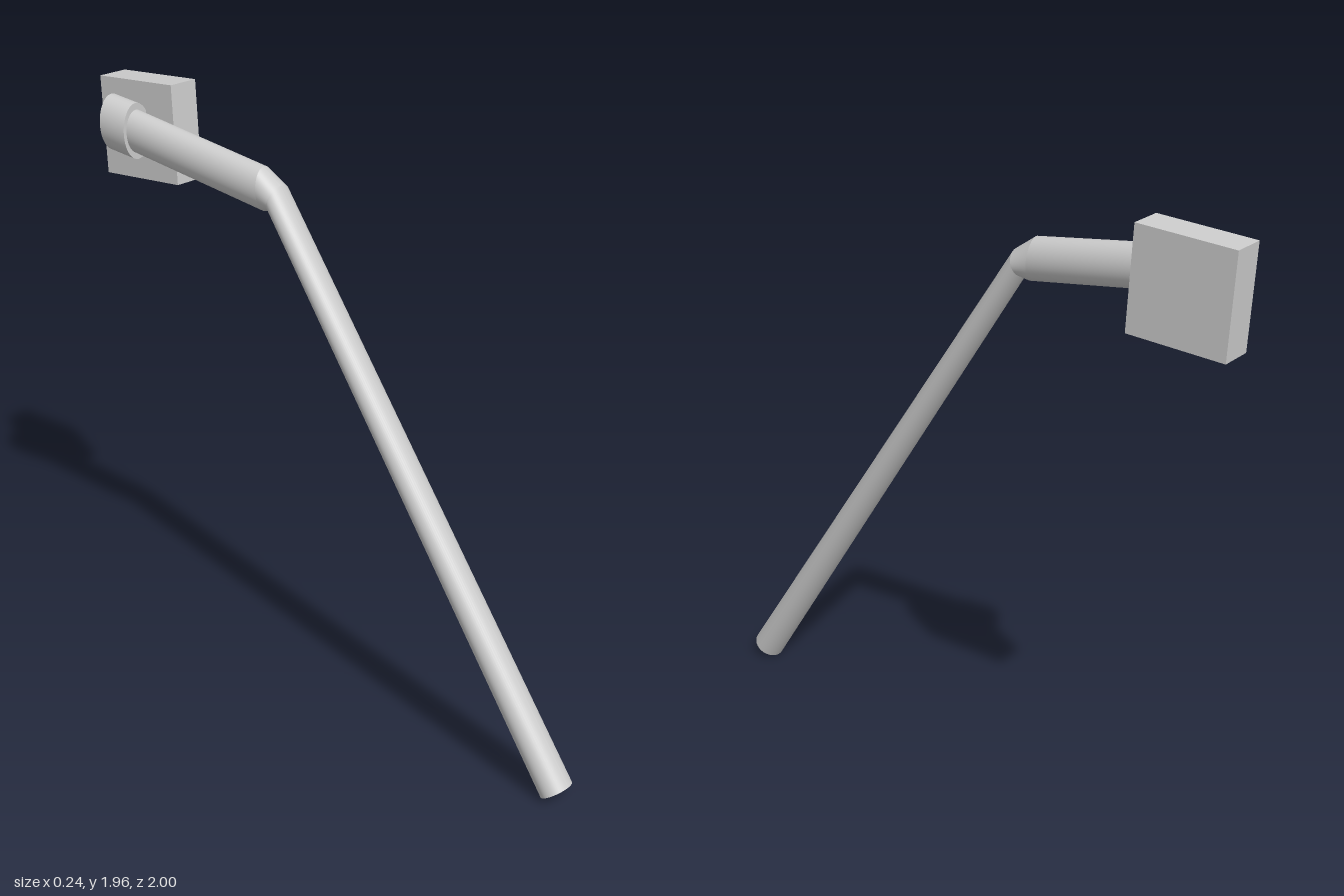
import * as THREE from 'three';

const material = new THREE.MeshStandardMaterial({ color: 0xcccccc });

// Elliptical ring: upper and lower points as [y, z], centre x, half width, skew of z across x
const ring = (upper, lower, x, halfWidth, skew = 0) => ({ upper, lower, x, halfWidth, skew });

// Smooth tube between two rings, made by reshaping a unit cylinder
function loft(name, from, to, open = false) {
  const geometry = new THREE.CylinderGeometry(1, 1, 1, 48, 1, open);
  const p = geometry.attributes.position;
  for (let i = 0; i < p.count; i++) {
    const r = p.getY(i) < 0 ? from : to;
    const dx = p.getX(i) * r.halfWidth;
    const t = (p.getZ(i) + 1) / 2;
    const y = THREE.MathUtils.lerp(r.lower[0], r.upper[0], t);
    const z = THREE.MathUtils.lerp(r.lower[1], r.upper[1], t) - r.skew * dx;
    p.setXYZ(i, r.x + dx, y, z);
  }
  geometry.computeVertexNormals();
  const mesh = new THREE.Mesh(geometry, material);
  mesh.name = name;
  return mesh;
}

export function createModel() {
  const group = new THREE.Group();
  group.name = 'bentArm';

  // Rings along the arm, from the foot to the upper end
  const foot = ring([0.062, 1.0], [0, 0.912], -0.056, 0.055);
  const bendStart = ring([1.754, -0.152], [1.672, -0.182], -0.06, 0.055, 0.08);
  const bendEnd = ring([1.802, -0.222], [1.663, -0.21], -0.061, 0.055, 0.16);
  const armEnd = ring([1.881, -0.82], [1.742, -0.81], -0.05, 0.055, 0.16);
  group.add(
    loft('longArm', foot, bendStart),
    loft('elbow', bendStart, bendEnd, true),
    loft('upperArm', bendEnd, armEnd)
  );

  // Wider collar around the end of the upper arm
  const collarFront = ring([1.898, -0.787], [1.716, -0.775], -0.05, 0.07, 0.16);
  const collarBack = ring([1.91, -0.897], [1.728, -0.885], -0.05, 0.07, 0.16);
  group.add(loft('collar', collarFront, collarBack));

  // Slightly tilted block beside the collar
  const block = new THREE.Mesh(new THREE.BoxGeometry(0.112, 0.327, 0.327), material);
  block.name = 'block';
  block.position.set(0.06, 1.789, -0.829);
  block.rotation.set(-0.066, 0, -0.018);
  group.add(block);

  return group;
}
